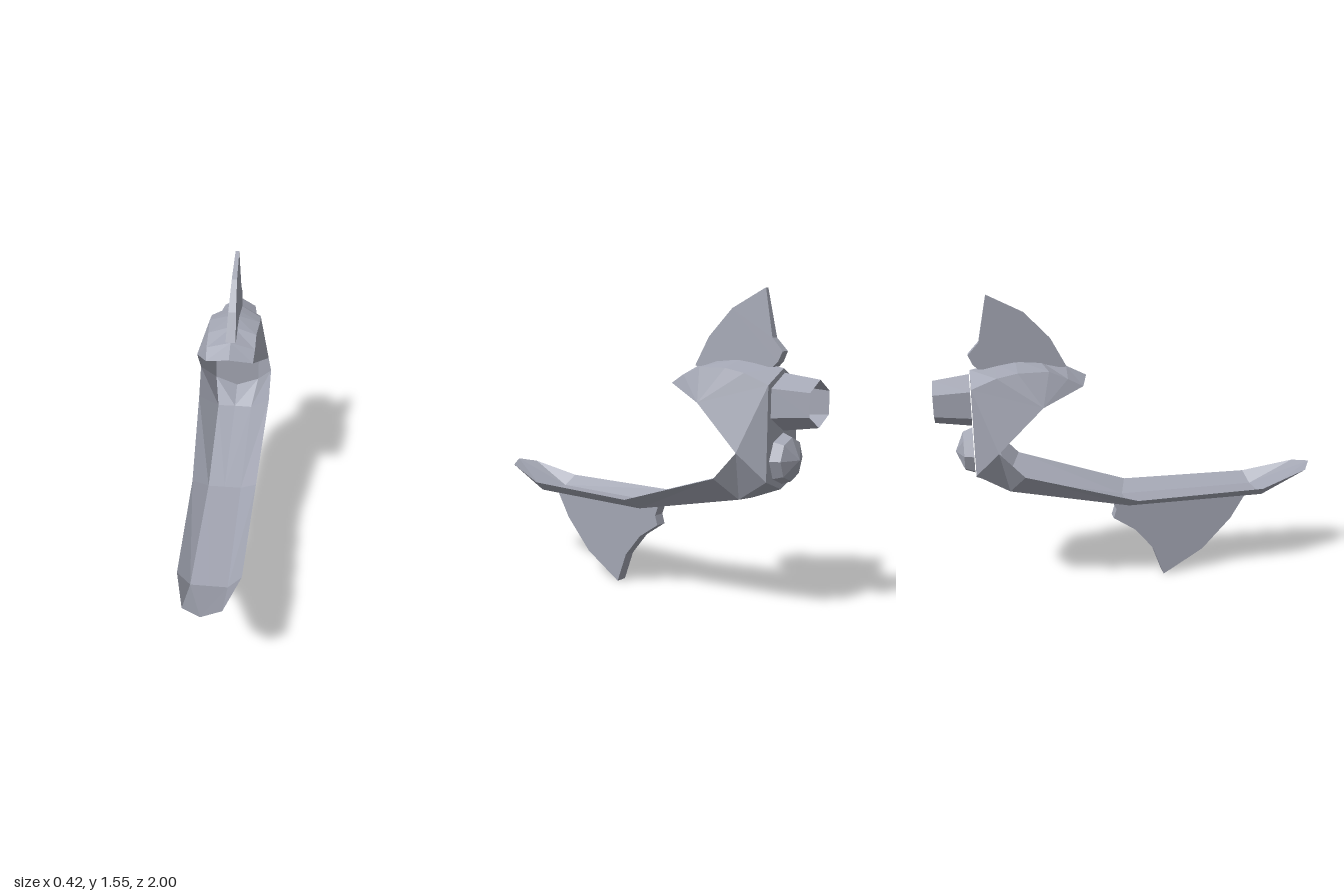
import * as THREE from 'three';

const hullGrey = new THREE.MeshStandardMaterial({ color: 0xa3a6b3, flatShading: true, side: THREE.DoubleSide });
hullGrey.name = 'hullGrey';

function part(name, geometry) {
  const mesh = new THREE.Mesh(geometry, hullGrey);
  mesh.name = name;
  return mesh;
}

// Open shell swept from the lower bow, up the back and forward over the hood.
// Each row: centre line, shoulder, free edge (left half, mirrored to the right).
function shellGeometry() {
  const bow = [0.09, 0.57, 0.94], hoodTip = [0.125, 1.11, -0.285];
  const cheek = [0.21, 0.82, -0.71], brow = [0.2, 1.03, -0.49];
  const rows = [
    [[0, 0.59, 1], bow, bow],
    [[0, 0.45, 0.69], [0.09, 0.45, 0.69], [0.155, 0.505, 0.67]],
    [[0, 0.45, -0.05], [0.09, 0.45, -0.05], [0.175, 0.505, -0.02]],
    [[0, 0.58, -0.67], [0.1, 0.585, -0.66], [0.208, 0.69, -0.59]],
    [[0, 0.64, -0.82], [0.13, 0.69, -0.82], cheek],
    [[0, 1.19, -0.82], [0.13, 1.12, -0.82], cheek],
    [[0, 1.215, -0.7], [0.14, 1.17, -0.7], brow],
    [[0, 1.23, -0.6], [0.14, 1.19, -0.6], brow],
    [[0, 1.22, -0.48], [0.13, 1.19, -0.45], brow],
    [[0, 1.19, -0.35], [0.13, 1.15, -0.36], brow],
    [[0, 1.14, -0.25], hoodTip, hoodTip],
  ];
  const positions = [];
  const triangle = (a, b, c) => {
    if (a === b || b === c || a === c) return;
    positions.push(...a, ...b, ...c);
    for (const p of [a, c, b]) positions.push(-p[0], p[1], p[2]);
  };
  for (let i = 0; i < rows.length - 1; i++) {
    for (let j = 0; j < 2; j++) {
      const a = rows[i][j], b = rows[i][j + 1];
      const c = rows[i + 1][j + 1], d = rows[i + 1][j];
      triangle(a, d, c);
      triangle(a, c, b);
    }
  }
  const geometry = new THREE.BufferGeometry();
  geometry.setAttribute('position', new THREE.Float32BufferAttribute(positions, 3));
  geometry.computeVertexNormals();
  return geometry;
}

// Flat fin from a (z, y) outline, standing in the middle plane
function finGeometry(outline, thickness) {
  const shape = new THREE.Shape(outline.map(([z, y]) => new THREE.Vector2(z, y)));
  return new THREE.ExtrudeGeometry(shape, { depth: thickness, bevelEnabled: false })
    .translate(0, 0, -thickness / 2)
    .rotateY(-Math.PI / 2);
}

export function createModel() {
  const model = new THREE.Group();
  model.name = 'finnedHull';
  model.add(part('hullShell', shellGeometry()));

  // Top fin, thinning towards its tip
  const topFin = finGeometry([
    [-0.35, 1.19], [-0.425, 1.33], [-0.55, 1.46], [-0.725, 1.547], [-0.77, 1.325],
    [-0.825, 1.265], [-0.805, 1.22], [-0.78, 1.195],
  ], 1);
  const p = topFin.attributes.position;
  for (let i = 0; i < p.count; i++) {
    const t = (p.getY(i) - 1.19) / 0.357;
    p.setX(i, p.getX(i) * THREE.MathUtils.lerp(0.054, 0.02, t));
  }
  topFin.computeVertexNormals();
  model.add(part('topFin', topFin));

  // Keel fin
  model.add(part('keelFin', finGeometry([
    [0.63, 0.45], [0.54, 0.3], [0.38, 0.13], [0.16, 0], [0.1, 0.16],
    [0, 0.28], [-0.12, 0.36], [-0.105, 0.41], [-0.125, 0.463], [-0.05, 0.45],
  ], 0.06)));

  // Open six-sided exhaust nozzle
  const nozzle = part('exhaustNozzle', new THREE.CylinderGeometry(0.105, 0.13, 0.175, 6, 1, true));
  nozzle.rotation.x = -Math.PI / 2;
  nozzle.position.set(0, 1.04, -0.9125);
  model.add(nozzle);

  // Faceted rear dome
  const profile = [[0.118, 0], [0.1, 0.047], [0, 0.088]].map(([r, h]) => new THREE.Vector2(r, h));
  const dome = part('rearDome', new THREE.LatheGeometry(profile, 8));
  dome.rotation.x = -Math.PI / 2;
  dome.position.set(0, 0.783, -0.825);
  model.add(dome);

  return model;
}
